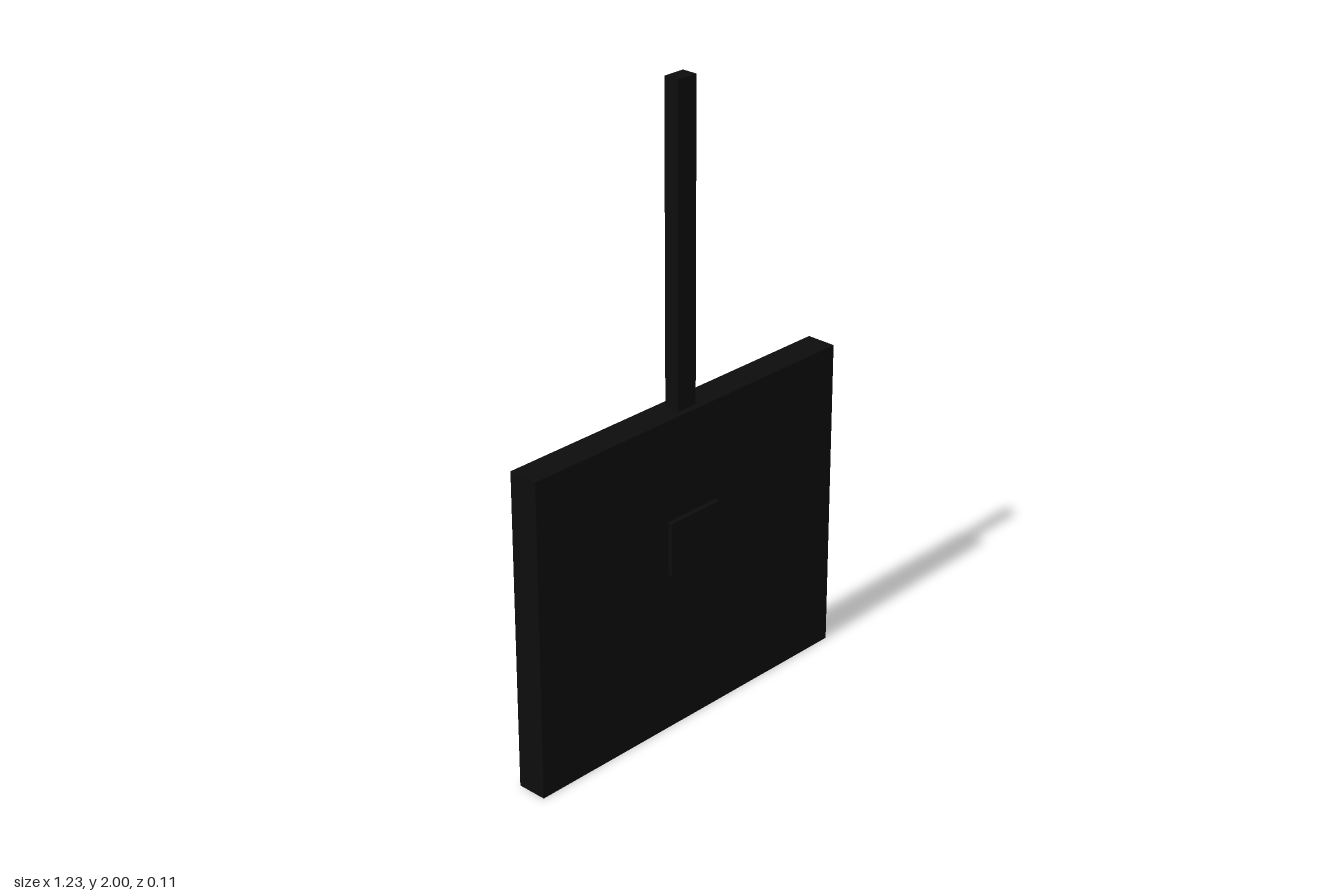
import * as THREE from 'three';

export function createModel() {
  const group = new THREE.Group();
  const black = new THREE.MeshStandardMaterial({ color: 0x0d0d0d });
  black.name = 'black';

  // Box given by its lower and upper corners
  const addBox = (name, [x0, y0, z0], [x1, y1, z1]) => {
    const mesh = new THREE.Mesh(new THREE.BoxGeometry(x1 - x0, y1 - y0, z1 - z0), black);
    mesh.position.set((x0 + x1) / 2, (y0 + y1) / 2, (z0 + z1) / 2);
    mesh.name = name;
    group.add(mesh);
  };

  // Flat panel, the post rising from its top edge, and the small raised front plate
  addBox('panel', [-0.617, 0, -0.056], [0.617, 1.014, 0.041]);
  addBox('post', [-0.037, 1.0, -0.03], [0.036, 2, 0.02]);
  addBox('frontPlate', [-0.1, 0.52, 0.03], [0.098, 0.692, 0.056]);

  return group;
}
